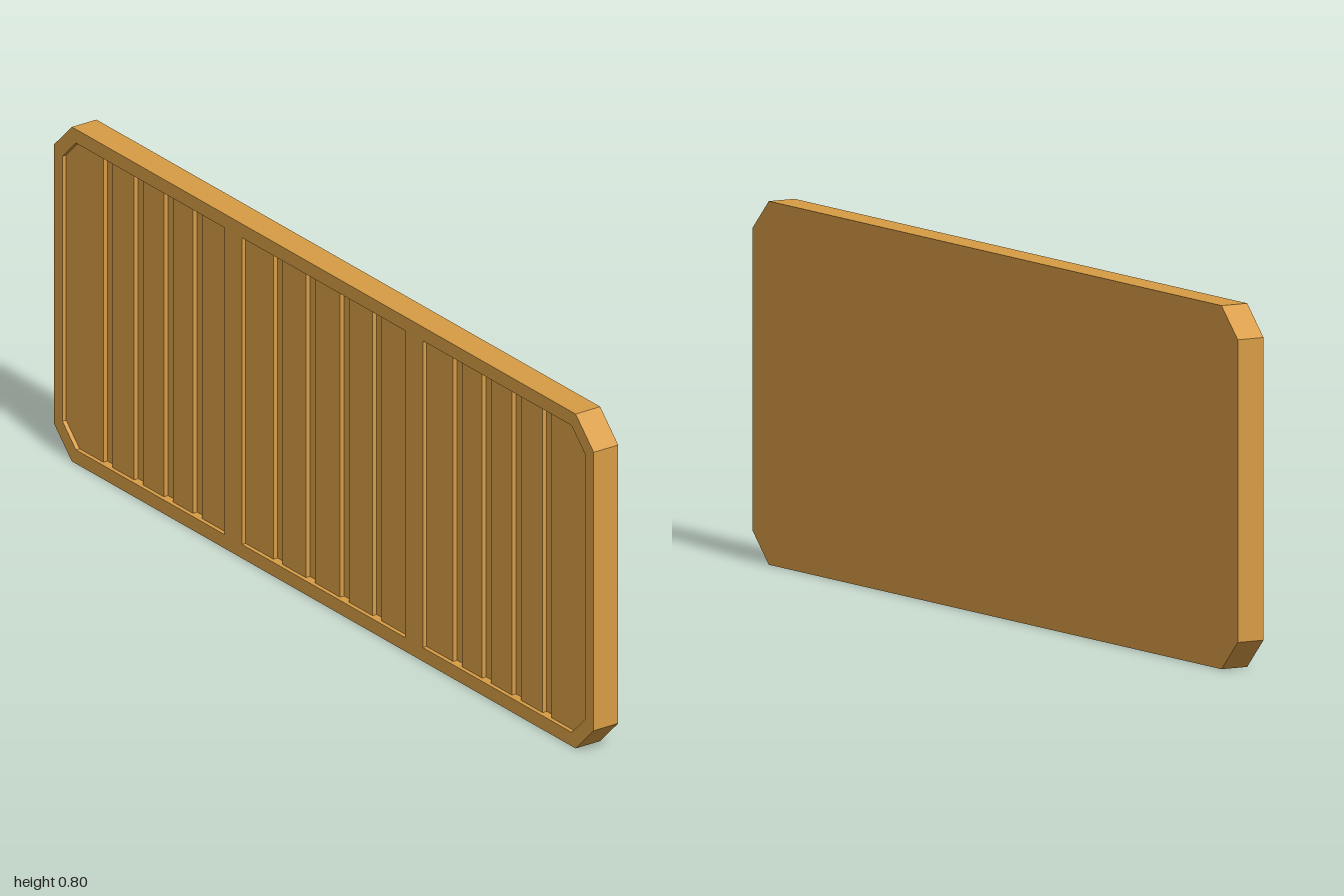
import * as THREE from 'three';

const H = 0.8, HALF = 0.033;      // board height and half thickness
const SLAT_Z = 0.023, GROOVE_Z = 0.012; // depth levels of slat faces and groove floors
const Y0 = 0.033, Y1 = H - Y0;    // pocket bottom and top

// Outline of a rectangle with optional chamfers on its left and right ends
function outline(Type, x0, x1, y0, y1, cl = 0, cr = 0) {
  const pts = [[x0 + cl, y0], [x1 - cr, y0]];
  if (cr) pts.push([x1, y0 + cr], [x1, y1 - cr]);
  pts.push([x1 - cr, y1], [x0 + cl, y1]);
  if (cl) pts.push([x0, y1 - cl], [x0, y0 + cl]);
  return new Type(pts.map(([x, y]) => new THREE.Vector2(x, y)));
}

export function createModel() {
  const group = new THREE.Group();
  const wood = new THREE.MeshStandardMaterial({ color: 0xd89c45 });

  const add = (name, shape, z0, z1) => {
    const geo = new THREE.ExtrudeGeometry(shape, { depth: z1 - z0, bevelEnabled: false });
    geo.translate(0, 0, z0);
    const mesh = new THREE.Mesh(geo, wood);
    mesh.name = name;
    group.add(mesh);
  };

  // Three pockets: extents, end chamfers, and the left edge of each groove
  const W = 0.033;
  const outer = [-0.83, -0.716, -0.606, -0.498];
  const pockets = [
    { x0: -0.968, x1: -0.367, cl: 0.05, cr: 0, grooves: outer },
    { x0: -0.303, x1: 0.303, cl: 0, cr: 0, grooves: [-0.2, -0.08, 0.047, 0.167] },
    { x0: 0.367, x1: 0.968, cl: 0, cr: 0.05, grooves: outer.map(x => -x - W).reverse() },
  ];

  // Solid back, then a front frame pierced by the pockets
  add('backBoard', outline(THREE.Shape, -1, 1, 0, H, 0.067, 0.067), -HALF, GROOVE_Z);
  const frame = outline(THREE.Shape, -1, 1, 0, H, 0.067, 0.067);
  for (const p of pockets) frame.holes.push(outline(THREE.Path, p.x0, p.x1, Y0, Y1, p.cl, p.cr));
  add('frontFrame', frame, GROOVE_Z, HALF);

  // Slats sit below the frame face, separated by deeper grooves
  for (const p of pockets) {
    const starts = [p.x0, ...p.grooves.map(x => x + W)];
    const ends = [...p.grooves, p.x1];
    starts.forEach((x, i) => add('slat',
      outline(THREE.Shape, x, ends[i], Y0, Y1, i === 0 ? p.cl : 0, i === 4 ? p.cr : 0),
      GROOVE_Z, SLAT_Z));
  }
  return group;
}
